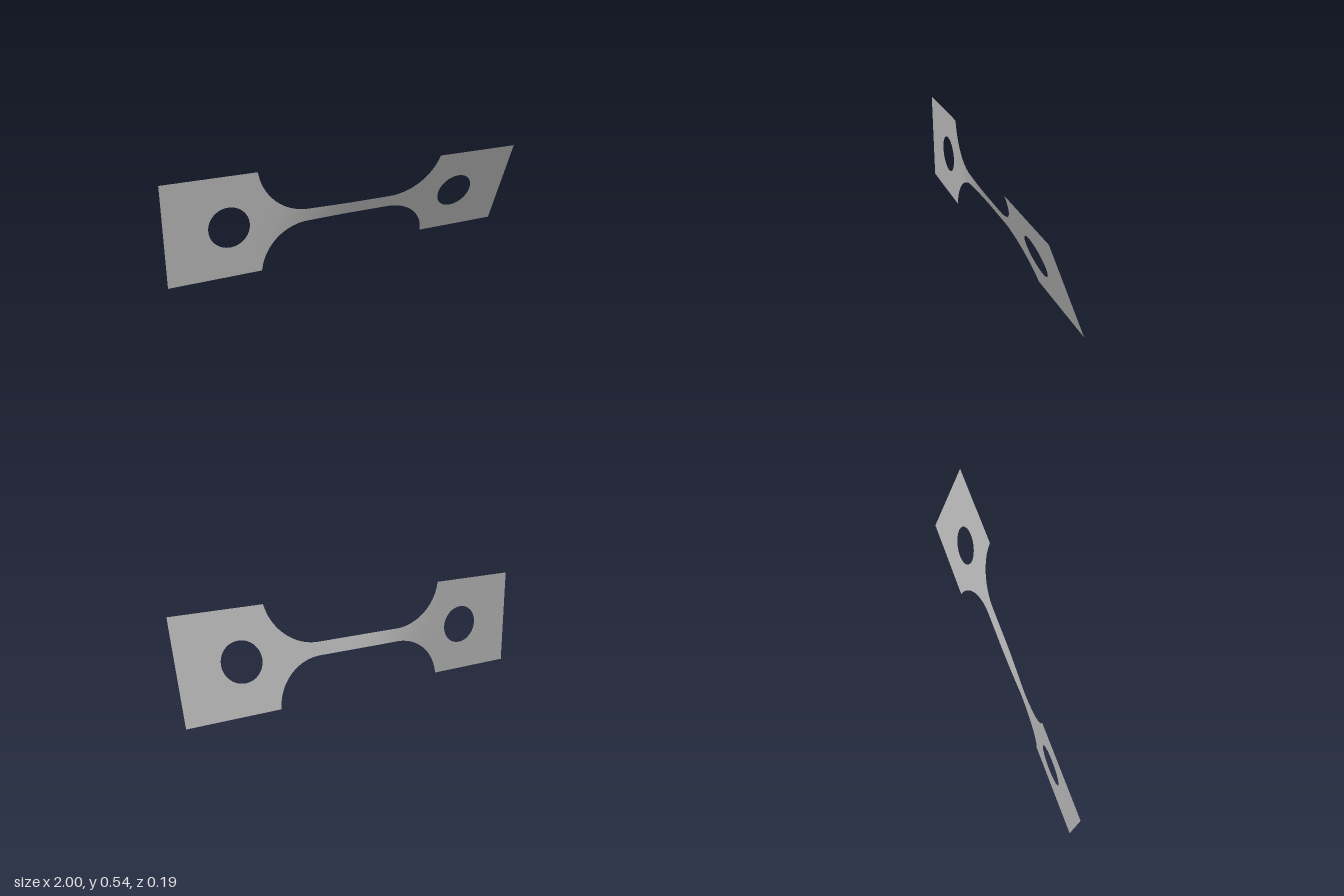
import * as THREE from 'three';

const MID_Y = 0.271;        // height of the long axis
const HALF = 0.271;         // half height of the end plates
const GAUGE = 0.036;        // half height of the narrow neck
const R = 0.27;             // fillet radius
const FILLET_X = 0.24;      // where the fillets start
const SHOULDER = FILLET_X + Math.sqrt(R * R - (GAUGE + R - HALF) ** 2);

// twist about the long axis, almost all of it in the left half of the neck
const twist = (x) =>
  THREE.MathUtils.degToRad(0.6 + 20.2 * THREE.MathUtils.smoothstep(x, -SHOULDER, 0.05));

// half height of the strip at x, between the shoulders
function halfHeight(x) {
  const d = Math.max(0, Math.abs(x) - FILLET_X);
  return GAUGE + R - Math.sqrt(R * R - d * d);
}

// turn the flat outline about the x axis and lift it
function applyTwist(geometry) {
  const p = geometry.attributes.position;
  for (let i = 0; i < p.count; i++) {
    const x = p.getX(i), y = p.getY(i), a = twist(x);
    p.setXYZ(i, x, MID_Y + y * Math.cos(a), y * Math.sin(a));
  }
  geometry.computeVertexNormals();
  return geometry;
}

// flat end plate with a round hole
function plateGeometry(side) {
  const inner = side * SHOULDER, outer = side;
  const shape = new THREE.Shape([
    new THREE.Vector2(inner, -HALF), new THREE.Vector2(outer, -HALF),
    new THREE.Vector2(outer, HALF), new THREE.Vector2(inner, HALF),
  ]);
  const hole = new THREE.Path();
  hole.absarc(side * 0.67, 0, 0.108, 0, Math.PI * 2, true);
  shape.holes.push(hole);
  return applyTwist(new THREE.ShapeGeometry(shape, 48));
}

// narrow neck with its four fillets
function neckGeometry() {
  const g = new THREE.PlaneGeometry(2 * SHOULDER, 2, 120, 10);
  const p = g.attributes.position;
  for (let i = 0; i < p.count; i++) p.setY(i, p.getY(i) * halfHeight(p.getX(i)));
  return applyTwist(g);
}

export function createModel() {
  const group = new THREE.Group();
  group.name = 'twistedTestStrip';
  const metal = new THREE.MeshStandardMaterial({ color: 0xb4b4b4, side: THREE.DoubleSide });
  metal.name = 'grey metal';
  const add = (name, geometry) => {
    const mesh = new THREE.Mesh(geometry, metal);
    mesh.name = name;
    group.add(mesh);
  };
  add('rightEndPlate', plateGeometry(-1));
  add('neck', neckGeometry());
  add('leftEndPlate', plateGeometry(1));
  return group;
}
